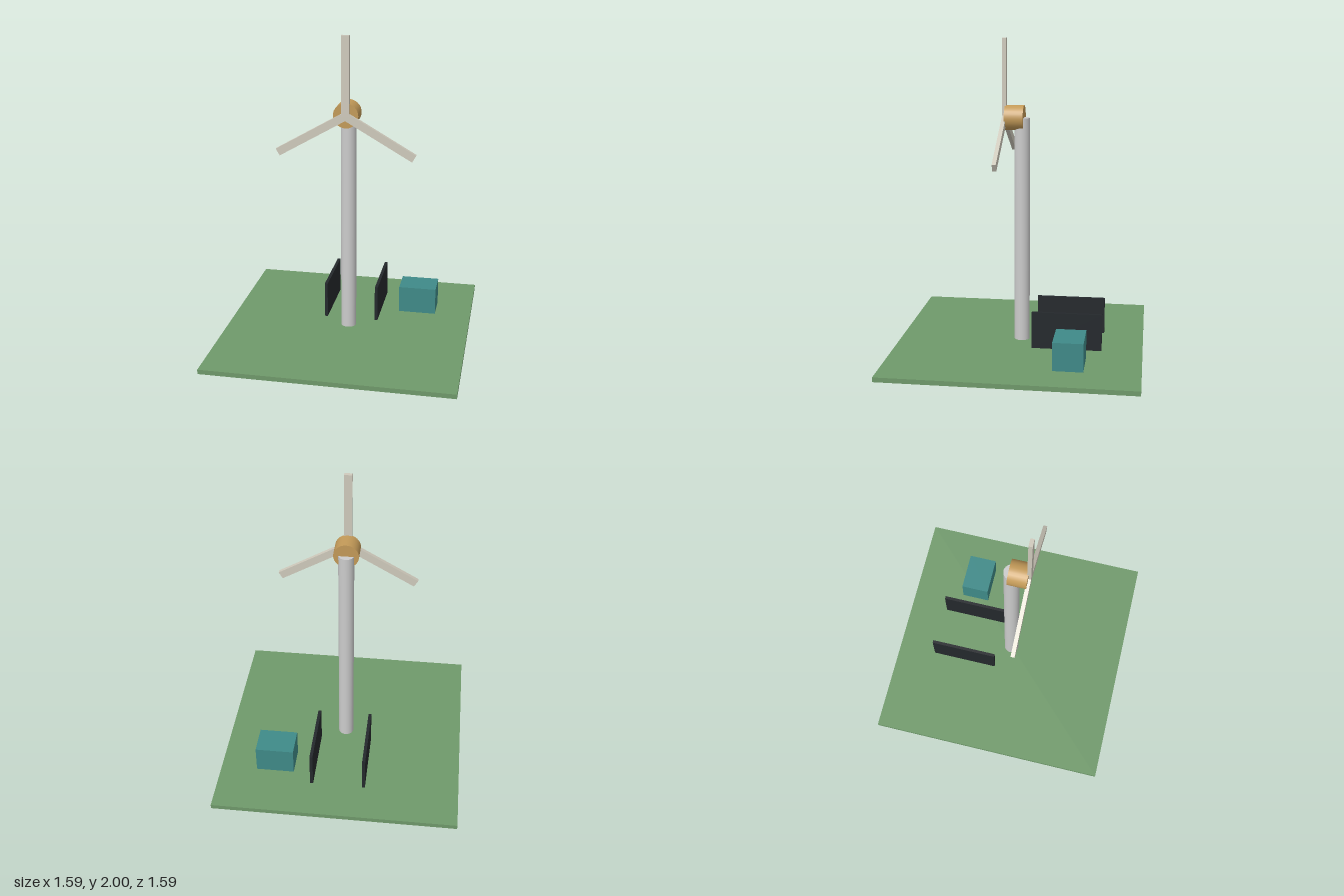
import * as THREE from 'three';

export function createModel() {
  const model = new THREE.Group();
  model.name = 'windTurbineSite';
  const mat = (color) => new THREE.MeshStandardMaterial({ color });
  const green = mat(0x6f996a), white = mat(0xd0d0cc), ochre = mat(0xc39a58);
  const cream = mat(0xcfcabc), dark = mat(0x24282c), teal = mat(0x3f8a88);

  const add = (name, geometry, material, x, y, z, parent = model) => {
    const mesh = new THREE.Mesh(geometry, material);
    mesh.name = name;
    mesh.position.set(x, y, z);
    parent.add(mesh);
    return mesh;
  };

  // Ground slab, with the tower foot showing just beneath it
  add('groundSlab', new THREE.BoxGeometry(1.59, 0.03, 1.59), green, 0, 0.019, 0);
  add('tower', new THREE.CylinderGeometry(0.05, 0.05, 1.5, 32), white, 0, 0.75, 0);

  // Hub drum, lying along z
  const hub = new THREE.CylinderGeometry(0.08, 0.08, 0.12, 32).rotateX(Math.PI / 2);
  add('hub', hub, ochre, 0, 1.5, 0.047);

  // Three blades meeting at the hub centre
  const rotor = new THREE.Group();
  rotor.name = 'rotor';
  rotor.position.set(0, 1.5, 0.112);
  model.add(rotor);
  const blade = new THREE.BoxGeometry(0.05, 0.5, 0.025).translate(0, 0.25, 0);
  for (let i = 0; i < 3; i++) {
    add('blade', blade, cream, 0, 0, 0, rotor).rotation.z = (i * Math.PI * 2) / 3;
  }

  // Upright panels behind the tower
  const panel = new THREE.BoxGeometry(0.02, 0.24, 0.45);
  for (const side of [-1, 1]) add('panel', panel, dark, side * 0.172, 0.154, -0.31);

  // Equipment cabinet
  add('cabinet', new THREE.BoxGeometry(0.25, 0.18, 0.19), teal, 0.43, 0.124, -0.35);

  return model;
}
